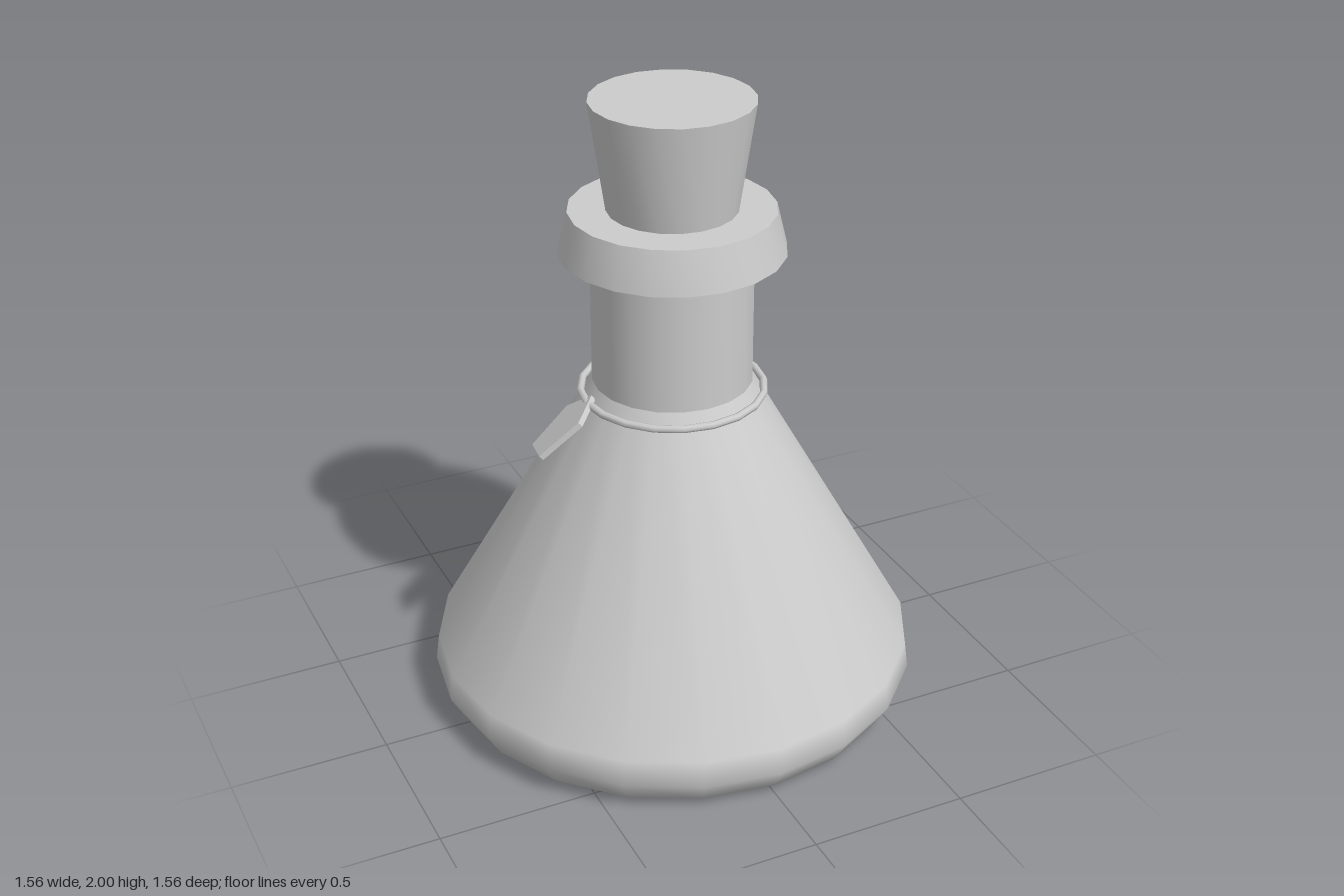
import * as THREE from 'three';
import { toCreasedNormals } from 'three/addons/utils/BufferGeometryUtils.js';

const SIDES = 20;
const grey = new THREE.MeshStandardMaterial({ color: 0xcccccc });

// Turned part from [radius, height] pairs, listed from bottom to top
function turned(name, profile, crease) {
  let geo = new THREE.LatheGeometry(profile.map(([r, y]) => new THREE.Vector2(r, y)), SIDES);
  if (crease) geo = toCreasedNormals(geo, crease);
  const mesh = new THREE.Mesh(geo, grey);
  mesh.name = name;
  return mesh;
}

// Hanging pentagonal label, laid out flat then tilted down the shoulder
function createTag() {
  const shape = new THREE.Shape([
    [-0.057, 0], [0.057, 0], [0.088, 0.158], [0, 0.24], [-0.088, 0.158],
  ].map(([x, y]) => new THREE.Vector2(x, y)));
  const geo = new THREE.ExtrudeGeometry(shape, { depth: 0.018, bevelEnabled: false });
  geo.translate(0, 0, -0.018);
  const along = new THREE.Vector3(0.1225, 0.1, 0.005).normalize();
  const across = new THREE.Vector3(-0.015, 0.025, 0.11);
  across.addScaledVector(along, -across.dot(along)).normalize();
  const normal = new THREE.Vector3().crossVectors(across, along);
  geo.applyMatrix4(new THREE.Matrix4().makeBasis(across, along, normal));
  const tag = new THREE.Mesh(geo, grey);
  tag.name = 'tag';
  tag.position.set(-0.457, 0.935, -0.01);
  return tag;
}

export function createModel() {
  const flask = new THREE.Group();
  flask.name = 'flask';

  // Conical body with a rounded lower edge and a flat base
  flask.add(turned('base', [[0, 0], [0.65, 0]]));
  flask.add(turned('body', [[0.65, 0], [0.735, 0.03], [0.778, 0.105], [0.767, 0.19], [0.25, 1.1]]));
  flask.add(turned('neck', [[0.25, 1.1], [0.25, 1.5]]));

  // Flared lip and tapered stopper
  flask.add(turned('lip', [[0.25, 1.5], [0.348, 1.527], [0.316, 1.66], [0, 1.66]], 0.7));
  flask.add(turned('stopper', [[0.2, 1.66], [0.25, 2], [0, 2]], 0.7));

  // Cord around the shoulder, holding the tag
  const cord = new THREE.Mesh(new THREE.TorusGeometry(0.286, 0.012, 8, SIDES), grey);
  cord.name = 'cord';
  cord.rotation.x = Math.PI / 2;
  cord.position.y = 1.063;
  flask.add(cord, createTag());

  return flask;
}
